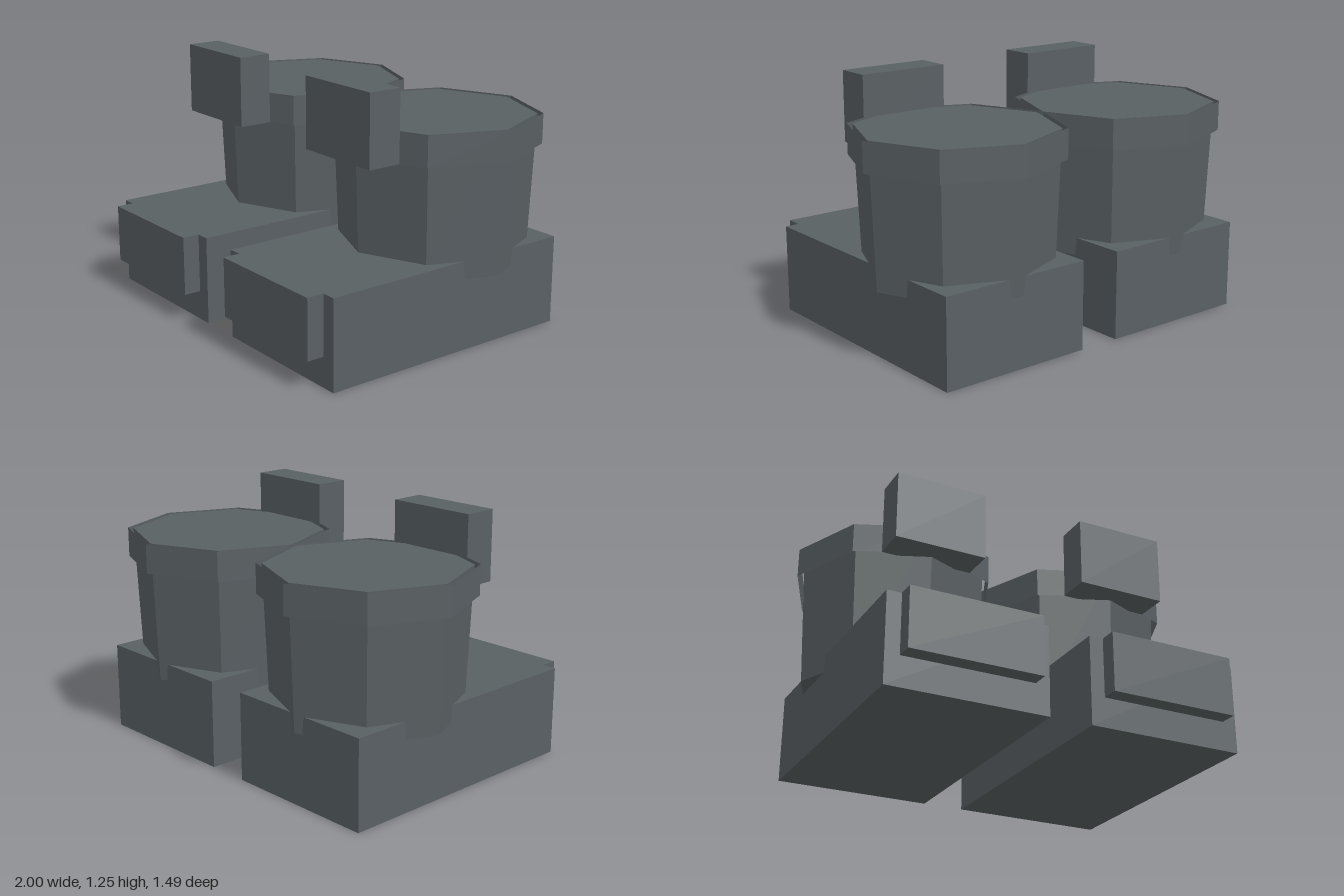
import * as THREE from 'three';

const darkGrey = new THREE.MeshStandardMaterial({ color: 0x596063, flatShading: true });
darkGrey.name = 'darkGrey';
// the cuff is an open shell, so it shows from both sides
const cuffGrey = darkGrey.clone();
cuffGrey.name = 'darkGreyShell';
cuffGrey.side = THREE.DoubleSide;

function part(name, geometry, x, y, z, material = darkGrey) {
  const mesh = new THREE.Mesh(geometry, material);
  mesh.name = name;
  mesh.position.set(x, y, z);
  return mesh;
}

// box given by its width and its y and z ranges
function block(name, width, y0, y1, z0, z1) {
  const geometry = new THREE.BoxGeometry(width, y1 - y0, z1 - z0);
  return part(name, geometry, 0, (y0 + y1) / 2, (z0 + z1) / 2);
}

function createBoot(name, x) {
  const boot = new THREE.Group();
  boot.name = name;
  const legZ = -0.24;

  // foot with a toe cap
  boot.add(block('foot', 0.78, 0, 0.435, -0.675, 0.66));
  boot.add(block('toeCap', 0.64, 0.145, 0.435, 0.66, 0.745));

  // tapered octagonal shaft, closed at both ends
  boot.add(part('shaft', new THREE.CylinderGeometry(0.478, 0.45, 0.693, 8), 0, 0.6965, legZ));

  // open octagonal cuff around the top of the shaft
  boot.add(part('cuff', new THREE.CylinderGeometry(0.505, 0.505, 0.145, 8, 1, true), 0, 0.9725, legZ, cuffGrey));

  // knee plate in front of the cuff
  boot.add(block('kneePlate', 0.46, 0.9, 1.245, 0.17, 0.34));

  boot.position.x = x;
  return boot;
}

export function createModel() {
  const model = new THREE.Group();
  model.name = 'boots';
  model.add(createBoot('leftBoot', 0.495), createBoot('rightBoot', -0.495));
  return model;
}
